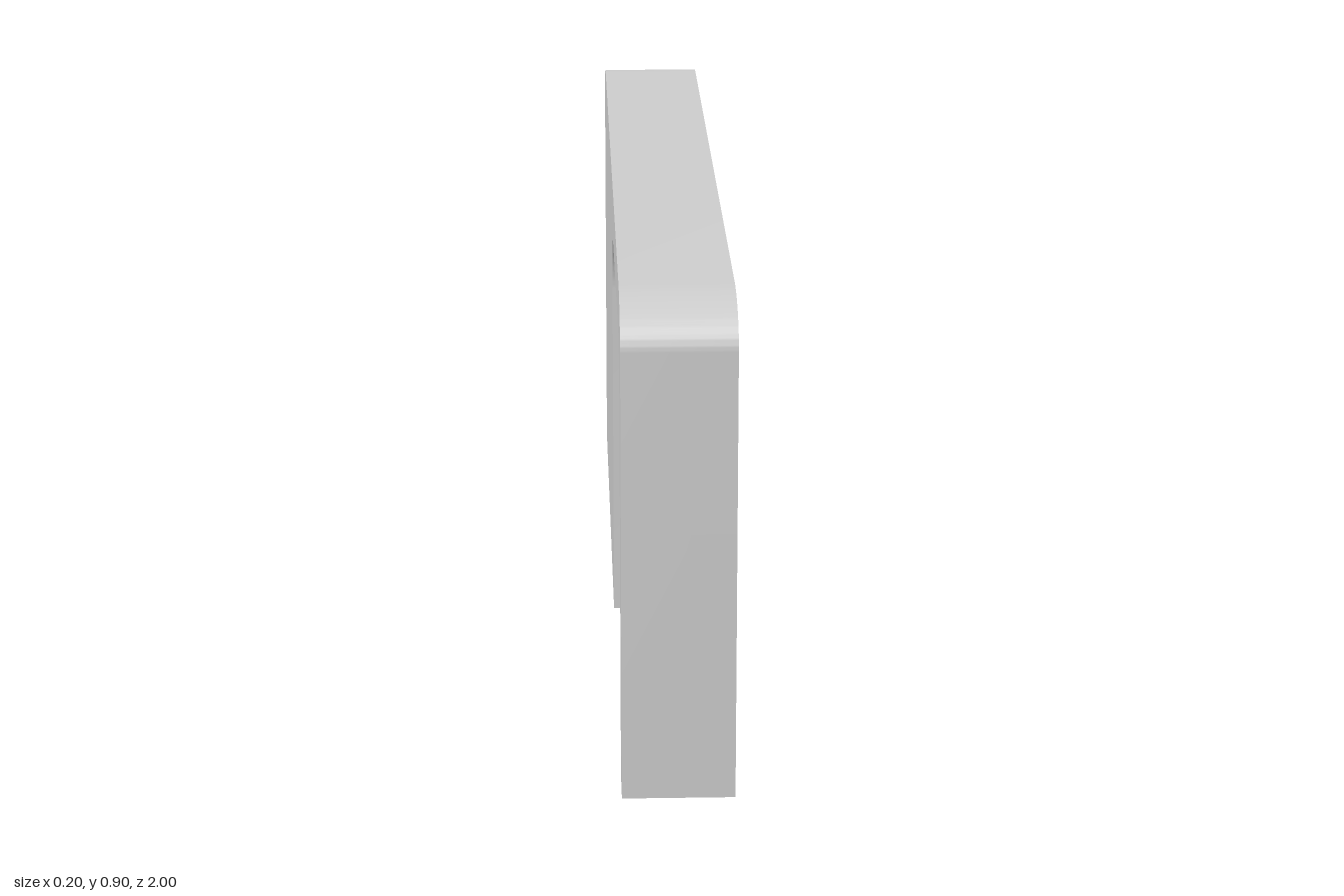
import * as THREE from 'three';
import { toCreasedNormals } from 'three/addons/utils/BufferGeometryUtils.js';

const WIDTH = 0.2;

export function createModel() {
  const group = new THREE.Group();
  group.name = 'archedWall';

  // Side profile: shape x runs along the model's z, shape y is height
  const s = new THREE.Shape();
  const corner = (cx, cy, rx, ry, from, to, clockwise) =>
    s.absellipse(cx, cy, rx, ry, from, to, clockwise, 0);

  const ox = 0.15, oy = 0.08; // outer top corners
  const ix = 0.11, iy = 0.13; // opening corners

  // Solid block and the long rounded top
  s.moveTo(-1, 0);
  s.lineTo(0.1, 0);
  // Opening between block and front leg
  s.lineTo(0.1, 0.8 - iy);
  corner(0.1 + ix, 0.8 - iy, ix, iy, Math.PI, Math.PI / 2, true);
  s.lineTo(0.9 - ix, 0.8);
  corner(0.9 - ix, 0.8 - iy, ix, iy, Math.PI / 2, 0, true);
  s.lineTo(0.9, 0);
  // Front leg and outer contour
  s.lineTo(1, 0);
  s.lineTo(1, 0.9 - oy);
  corner(1 - ox, 0.9 - oy, ox, oy, 0, Math.PI / 2, false);
  s.lineTo(-1 + ox, 0.9);
  corner(-1 + ox, 0.9 - oy, ox, oy, Math.PI / 2, Math.PI, false);
  s.closePath();

  const extruded = new THREE.ExtrudeGeometry(s, { depth: WIDTH, bevelEnabled: false, curveSegments: 16 });
  extruded.translate(0, 0, -WIDTH / 2);
  extruded.rotateY(-Math.PI / 2);

  const wall = new THREE.Mesh(
    toCreasedNormals(extruded, Math.PI / 6),
    new THREE.MeshStandardMaterial({ color: 0xcccccc })
  );
  wall.name = 'wallWithArch';
  group.add(wall);
  return group;
}
